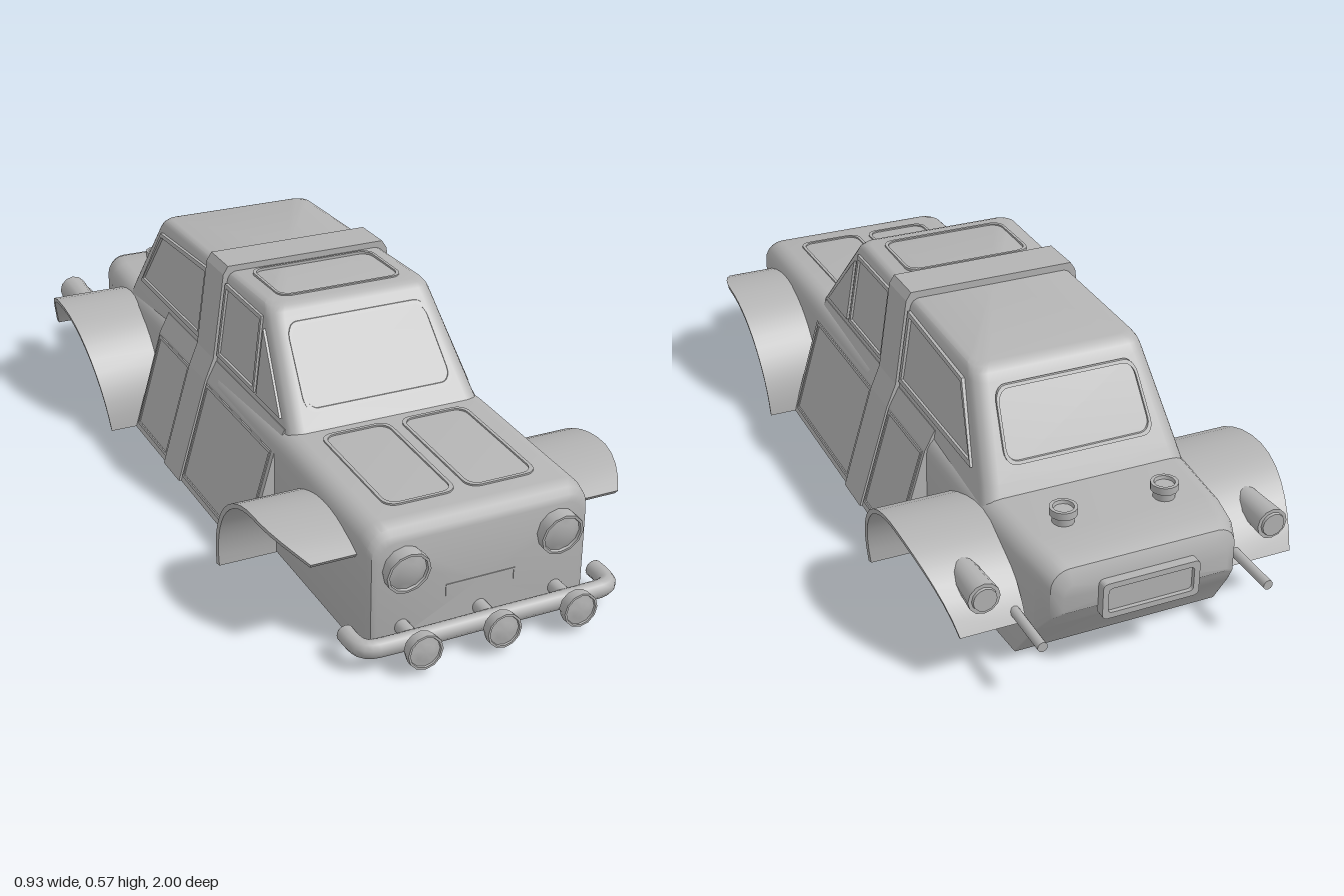
import * as THREE from 'three';
import { toCreasedNormals, mergeVertices } from 'three/addons/utils/BufferGeometryUtils.js';

const grey = new THREE.MeshStandardMaterial({ color: 0xb3b3b3, side: THREE.DoubleSide });
grey.name = 'primer grey';

export function createModel() {
  const car = new THREE.Group();
  car.name = 'rallyCarBody';

  const add = (name, geo, x = 0, y = 0, z = 0, rx = 0) => {
    const m = new THREE.Mesh(geo, grey);
    m.name = name;
    m.position.set(x, y, z);
    m.rotation.x = rx;
    car.add(m);
    return m;
  };
  // Adds the part on the left and its mirror image on the right
  const addPair = (name, geo) => {
    add(name + 'Left', geo);
    add(name + 'Right', geo).scale.x = -1;
  };

  // Closed skin through rings of equal point count, with fan caps
  const loft = (rings, crease = 0.6) => {
    const n = rings[0].length, pos = [], idx = [];
    rings.forEach(r => r.forEach(p => pos.push(...p)));
    for (let i = 0; i < rings.length - 1; i++)
      for (let j = 0; j < n; j++) {
        const a = i * n + j, b = i * n + (j + 1) % n;
        idx.push(a, b, b + n, a, b + n, a + n);
      }
    [0, rings.length - 1].forEach(k => {
      const c = pos.length / 3;
      pos.push(...[0, 1, 2].map(d => rings[k].reduce((s, p) => s + p[d], 0) / n));
      for (let j = 0; j < n; j++) {
        const a = k * n + j, b = k * n + (j + 1) % n;
        idx.push(...(k ? [a, b, c] : [b, a, c]));
      }
    });
    const g = new THREE.BufferGeometry();
    g.setAttribute('position', new THREE.Float32BufferAttribute(pos, 3));
    g.setIndex(idx);
    return toCreasedNormals(g, crease);
  };

  // Counter-clockwise rounded rectangle; rb rounds the bottom corners
  const roundRect = (x0, x1, y0, y1, r, rb = r, seg = 5) => {
    const pts = [];
    [[x1 - r, y1 - r, r], [x0 + r, y1 - r, r], [x0 + rb, y0 + rb, rb], [x1 - rb, y0 + rb, rb]]
      .forEach(([cx, cy, rad], q) => {
        for (let i = 0; i <= seg; i++) {
          const a = (q + i / seg) * Math.PI / 2;
          pts.push([cx + rad * Math.cos(a), cy + rad * Math.sin(a)]);
        }
      });
    return pts;
  };

  // Lower hull, swept from nose to tail: z, half width, top, bottom, shoulder radius
  add('hull', loft([
    [-0.945, 0.20, 0.24, 0.17, 0.03], [-0.93, 0.225, 0.272, 0.152, 0.045],
    [-0.89, 0.242, 0.286, 0.10, 0.05], [-0.82, 0.255, 0.29, 0, 0.05],
    [-0.66, 0.265, 0.293, 0, 0.05], [-0.36, 0.272, 0.305, 0, 0.05],
    [0.43, 0.277, 0.315, 0, 0.05], [0.84, 0.277, 0.301, 0, 0.05],
    [0.87, 0.273, 0.293, 0, 0.05], [0.882, 0.266, 0.28, 0, 0.045], [0.887, 0.253, 0.265, 0, 0.04],
  ].map(([z, w, t, b, r]) => roundRect(-w, w, b, t, r, 0.004).map(p => [p[0], p[1], z]))));

  // Cabin, stacked upwards: y, half width, rear z, front z
  add('cabin', loft([
    [0.27, 0.256, -0.67, 0.473], [0.32, 0.248, -0.64, 0.43], [0.525, 0.218, -0.515, 0.255],
    [0.541, 0.214, -0.503, 0.243], [0.551, 0.207, -0.49, 0.23], [0.556, 0.195, -0.475, 0.215],
  ].map(([y, w, b, f]) => roundRect(-w, w, -f, -b, 0.035).map(p =>
    [p[0], y - (y > 0.5 ? Math.max(0, p[1]) * 0.03 : 0), -p[1]]))));

  // Doors and the roll band share a flared cross-section
  const slab = (half, z0, z1) => {
    const s = new THREE.Shape([...half, ...half.slice().reverse().map(([x, y]) => [-x, y])]
      .map(p => new THREE.Vector2(...p)));
    return new THREE.ExtrudeGeometry(s, { depth: z1 - z0, bevelEnabled: false }).translate(0, 0, z0);
  };
  add('doorSection', slab([[0.355, 0], [0.276, 0.268], [0.25, 0.318]], -0.36, 0.4));
  add('rollBand', slab([[0.361, 0], [0.282, 0.268], [0.258, 0.326], [0.226, 0.547], [0.213, 0.567]], -0.13, -0.02));

  // Thin raised outline laid on a surface by a mapping rule
  const trim = (pts, t, map, thick = 0.006) => {
    const v = pts.map(p => new THREE.Vector2(...p));
    const box = new THREE.Box2().setFromPoints(v);
    const c = box.getCenter(new THREE.Vector2()), s = box.getSize(new THREE.Vector2());
    const shape = new THREE.Shape(v);
    shape.holes.push(new THREE.Path(v.map(p => new THREE.Vector2(
      c.x + (p.x - c.x) * (1 - 2 * t / s.x), c.y + (p.y - c.y) * (1 - 2 * t / s.y)))));
    const g = new THREE.ExtrudeGeometry(shape, { depth: thick + 0.004, bevelEnabled: false }).translate(0, 0, -0.004);
    const a = g.attributes.position;
    for (let i = 0; i < a.count; i++) a.setXYZ(i, ...map(a.getX(i), a.getY(i), a.getZ(i)));
    g.computeVertexNormals();
    return g;
  };
  const onCabinSide = (u, v, w) => [0.248 - (v - 0.32) * 0.146 + w, v, -u];
  const onDoor = (u, v, w) => [0.355 - v * 0.295 + w, v, -u];
  const onWindscreen = (u, v, w) => [u * (1.08 - v * 0.4), v, 0.43 - (v - 0.32) * 0.854 + w];
  const onRearGlass = (u, v, w) => [-u * (1.08 - v * 0.4), v, -0.64 + (v - 0.32) * 0.6 - w];
  const onHood = (u, v, w) => [u, 0.315 - (-v - 0.43) * 0.034 + w, -v];
  const onRoof = (u, v, w) => [u, 0.556 + w, -v];

  // Window and door outlines
  addPair('frontWindowFrame', trim([[-0.22, 0.335], [0.015, 0.335], [0.015, 0.525], [-0.21, 0.525]], 0.01, onCabinSide));
  addPair('quarterWindowFrame', trim([[-0.375, 0.335], [-0.235, 0.335], [-0.228, 0.5]], 0.01, onCabinSide));
  addPair('rearWindowFrame', trim([[0.135, 0.335], [0.57, 0.335], [0.465, 0.505], [0.135, 0.522]], 0.012, onCabinSide));
  addPair('frontDoorTrim', trim([[-0.385, 0.015], [0.015, 0.015], [0.015, 0.262], [-0.385, 0.262]], 0.007, onDoor, 0.003));
  addPair('rearDoorTrim', trim([[0.135, 0.015], [0.35, 0.015], [0.35, 0.262], [0.135, 0.262]], 0.007, onDoor, 0.003));
  add('windscreenTrim', trim(roundRect(-0.21, 0.21, 0.35, 0.52, 0.03), 0.007, onWindscreen, 0.003));
  add('rearGlassTrim', trim(roundRect(-0.2, 0.2, 0.35, 0.505, 0.03), 0.007, onRearGlass, 0.003));
  add('roofHatch', trim(roundRect(-0.165, 0.165, -0.19, 0, 0.03), 0.007, onRoof, 0.003));
  addPair('hoodPanel', trim(roundRect(0.014, 0.19, -0.8, -0.46, 0.03), 0.008, onHood, 0.004));

  // Flared wheel arches: open shells bent around the wheel centre, the outboard end stretched
  const arch = (zc, r, dir, endAngle, reach, tip, stretch) => {
    const N = 18, pos = [], idx = [];
    for (let i = 0; i <= N; i++) {
      const t = i / N, a = Math.PI - t * (Math.PI - endAngle);
      const c = Math.cos(a), s = Math.sin(a);
      const outer = c < 0 ? 0.425 + (reach - 0.425) * s : reach - (reach - tip) * Math.pow(c / Math.cos(endAngle), 2);
      // inner edge, outer edge, folded lip
      [[0.255, r], [outer, r], [outer - 0.002, r - 0.012], [0.255, r - 0.012]].forEach(([x, q]) =>
        pos.push(x, q * s, zc + dir * q * c * (c > 0 ? stretch : 1)));
      if (i < N) for (let k = 0; k < 4; k++) {
        const p = i * 4 + k, q = i * 4 + (k + 1) % 4;
        idx.push(...(dir > 0 ? [p, p + 4, q, q, p + 4, q + 4] : [p, q, p + 4, q, q + 4, p + 4]));
      }
    }
    const e = N * 4;
    idx.push(0, 1, 2, 0, 2, 3, e, e + 2, e + 1, e, e + 3, e + 2);
    const g = new THREE.BufferGeometry();
    g.setAttribute('position', new THREE.Float32BufferAttribute(pos, 3));
    g.setIndex(idx);
    return toCreasedNormals(g, 0.6);
  };
  addPair('frontFender', arch(0.665, 0.27, 1, 1.005, 0.442, 0.385, 1.17));
  addPair('rearFender', arch(-0.635, 0.274, -1, 0.47, 0.463, 0.41, 1));

  // Cylinder lying along z; first radius faces the front
  const rod = (rf, rb, len, seg = 12) => new THREE.CylinderGeometry(rb, rf, len, seg).rotateX(-Math.PI / 2);

  // Turned lamp with a rim and a slightly domed lens, facing +z
  const lamp = (r, d) => toCreasedNormals(mergeVertices(new THREE.LatheGeometry([
    [0, 0], [r * 0.92, 0], [r, d * 0.5], [r, d], [r * 0.88, d], [r * 0.85, d * 0.85], [r * 0.5, d], [0, d * 1.05],
  ].map(p => new THREE.Vector2(...p)), 12).rotateX(Math.PI / 2)), 0.6);

  for (const s of [-1, 1]) {
    add('headlight', lamp(0.053, 0.04), s * 0.191, 0.206, 0.872, 0.15);
    add('tailLight', rod(0.03, 0.038, 0.14), s * 0.355, 0.212, -0.81);
    add('tailLightLens', rod(0.03, 0.028, 0.008), s * 0.355, 0.212, -0.882);
    add('exhaustPipe', rod(0.012, 0.012, 0.17, 10), s * 0.275, 0.145, -0.915);
    // Filler cap with a hollow rim
    add('fillerCap', toCreasedNormals(new THREE.LatheGeometry([
      [0.025, 0], [0.026, 0.03], [0.032, 0.03], [0.032, 0.048], [0.024, 0.048], [0.022, 0.04], [0, 0.04],
    ].map(p => new THREE.Vector2(...p)), 14), 0.6), s * 0.125, 0.28, -0.785);
  }

  // Tubular front bumper with three spot lamps
  const half = [[0.315, 0.86], [0.315, 0.9], [0.308, 0.925], [0.29, 0.937], [0.255, 0.94]];
  const path = new THREE.CatmullRomCurve3(
    [...half, [0, 0.94], ...half.slice().reverse().map(([x, z]) => [-x, z])]
      .map(([x, z]) => new THREE.Vector3(x, 0.055, z)), false, 'centripetal');
  add('bumperTube', new THREE.TubeGeometry(path, 60, 0.021, 10));
  for (const s of [-1, 1]) add('bumperEnd', new THREE.CircleGeometry(0.021, 10), s * 0.315, 0.055, 0.86, Math.PI);
  for (const x of [-0.193, 0, 0.193]) {
    add('spotLamp', lamp(0.042, 0.028), x, 0.055, 0.97);
    add('spotLampStalk', rod(0.018, 0.018, 0.11), x, 0.055, 0.92);
  }

  // Front plate bracket
  add('bracketTop', new THREE.BoxGeometry(0.174, 0.005, 0.008), 0, 0.13, 0.885);
  for (const s of [-1, 1]) add('bracketSide', new THREE.BoxGeometry(0.004, 0.026, 0.008), s * 0.085, 0.117, 0.885);

  // Rear plate panel with a raised frame
  add('rearPanel', new THREE.BoxGeometry(0.21, 0.075, 0.03), 0, 0.19, -0.942);
  add('rearPanelFrame', trim(roundRect(-0.118, 0.118, 0.145, 0.235, 0.012), 0.014,
    (u, v, w) => [-u, v, -0.945 - w], 0.022));

  return car;
}
